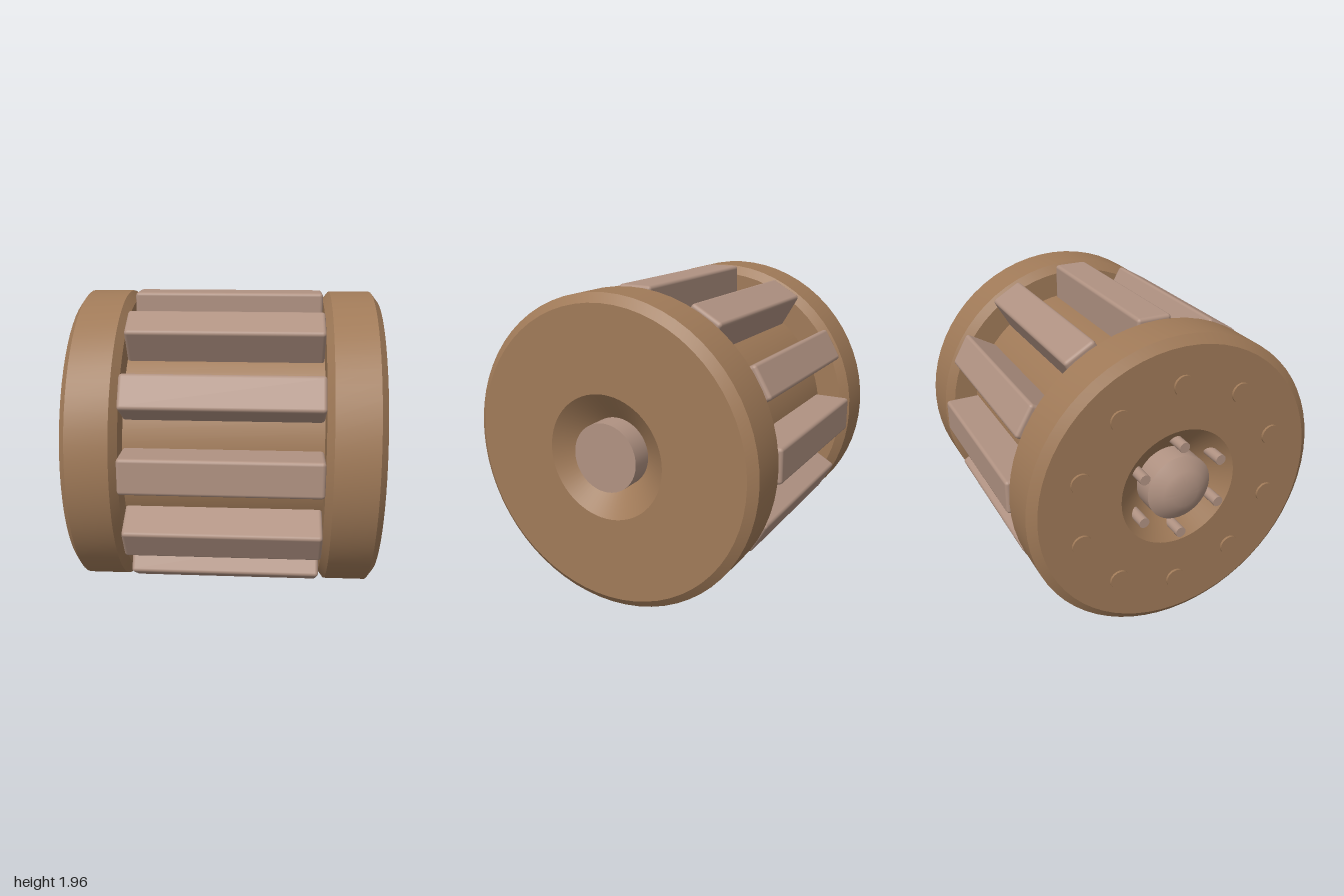
import * as THREE from 'three';
import { toCreasedNormals } from 'three/addons/utils/BufferGeometryUtils.js';
import { RoundedBoxGeometry } from 'three/addons/geometries/RoundedBoxGeometry.js';

export function createModel() {
  const model = new THREE.Group();
  model.name = 'slattedRoller';
  const axis = new THREE.Group();
  axis.name = 'rollerAssembly';
  axis.position.y = 0.98;
  model.add(axis);

  const brown = new THREE.MeshStandardMaterial({ color: 0xa07a58 });
  brown.name = 'brown';
  const taupe = new THREE.MeshStandardMaterial({ color: 0xb09282 });
  taupe.name = 'taupe';

  const add = (name, geometry, material) => {
    const mesh = new THREE.Mesh(geometry, material);
    mesh.name = name;
    axis.add(mesh);
    return mesh;
  };

  // Revolve [radius, x] points around the x axis, from low x to high x
  const revolve = (name, points, material, crease = 0.4) => {
    const profile = points.map(([r, x]) => new THREE.Vector2(r, x));
    const geometry = new THREE.LatheGeometry(profile, 64).rotateZ(-Math.PI / 2);
    return add(name, toCreasedNormals(geometry, crease), material);
  };

  // Short pin along x, ending at the outer position x
  const pin = (name, radius, length, x, orbit, angle, material, sides) => {
    const geometry = new THREE.CylinderGeometry(radius, radius, length, sides).rotateZ(Math.PI / 2);
    const mesh = add(name, geometry, material);
    mesh.position.set(x + length / 2, orbit * Math.cos(angle), orbit * Math.sin(angle));
  };

  // Chamfered end discs, each with a tapered hub recess
  revolve('boltedDisc', [
    [0.2, -0.77], [0.39, -0.92], [0.92, -0.92], [0.975, -0.88],
    [0.975, -0.62], [0.92, -0.575], [0.7, -0.575],
  ], brown);
  revolve('plainDisc', [
    [0.7, 0.648], [0.92, 0.648], [0.975, 0.69],
    [0.975, 0.957], [0.92, 1], [0.39, 1], [0.2, 0.85],
  ], brown);

  // Inner drum
  revolve('drum', [[0.76, -0.58], [0.76, 0.655]], brown);

  // Hub: flat on one end, domed on the other
  revolve('hub', [[0.215, -0.92], [0.215, 1], [0, 1]], taupe);
  revolve('hubDome', [[0, -1], [0.09, -0.993], [0.14, -0.975], [0.215, -0.92]], taupe, 0.8);

  // Twelve slats around the drum
  const slatGeometry = new RoundedBoxGeometry(1.222, 0.26, 0.225, 2, 0.022);
  for (let i = 0; i < 12; i++) {
    const angle = (i * Math.PI) / 6;
    const slat = add('slat', slatGeometry, taupe);
    slat.position.set(0.035, 0.848 * Math.cos(angle), 0.848 * Math.sin(angle));
    slat.rotation.x = angle;
  }

  // Ten flat studs on the disc face
  for (let i = 0; i < 10; i++) {
    pin('discStud', 0.065, 0.03, -0.935, 0.683, (i * Math.PI) / 5, brown, 20);
  }

  // Six hub bolts standing in the recess
  for (let i = 0; i < 6; i++) {
    pin('hubBolt', 0.034, 0.16, -0.967, 0.3, (i * Math.PI) / 3, taupe, 16);
  }

  return model;
}
